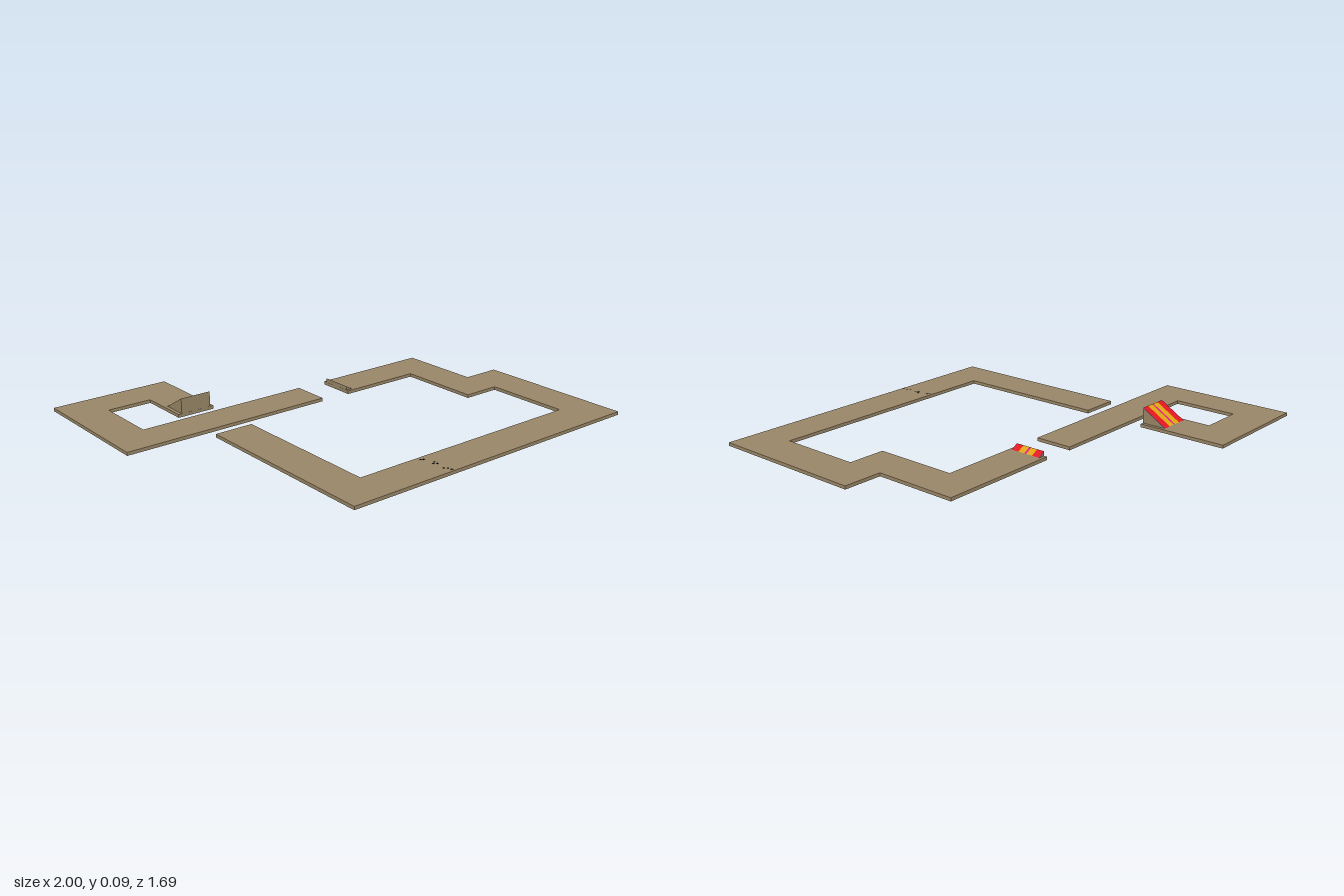
import * as THREE from 'three';

const material = (name, color) => {
  const m = new THREE.MeshStandardMaterial({ color });
  m.name = name;
  return m;
};

export function createModel() {
  const model = new THREE.Group();
  model.name = 'trackCourse';
  const ground = material('dirt brown', 0x9a8768);
  const red = material('red', 0xe3171f);
  const yellow = material('amber', 0xe0a512);
  const magenta = material('magenta', 0xd8148a);
  const black = material('black', 0x101010);
  const T = 0.016; // track thickness

  const add = (parent, name, geometry, mat) => {
    const mesh = new THREE.Mesh(geometry, mat);
    mesh.name = name;
    parent.add(mesh);
    return mesh;
  };

  // Flat track pieces, outlined as [x, z]
  const slab = (name, outline) => {
    const shape = new THREE.Shape(outline.map(([x, z]) => new THREE.Vector2(x, -z)));
    const geo = new THREE.ExtrudeGeometry(shape, { depth: T, bevelEnabled: false });
    geo.rotateX(-Math.PI / 2);
    add(model, name, geo, ground);
  };
  slab('hookTrack', [
    [-1, -0.847], [-0.405, -0.847], [-0.405, -0.405], [-0.595, -0.405], [-0.595, -0.66],
    [-0.815, -0.66], [-0.815, -0.345], [0.055, -0.345], [0.055, -0.16], [-1, -0.16],
  ]);
  slab('loopTrack', [
    [0.213, -0.345], [0.81, -0.345], [0.81, 0.063], [1, 0.063], [1, 0.845], [-0.595, 0.845],
    [-0.595, -0.097], [-0.405, -0.097], [-0.405, 0.657], [0.81, 0.657], [0.81, 0.247],
    [0.625, 0.247], [0.625, -0.16], [0.213, -0.16],
  ]);

  // Wedge ramp rising toward its own +z, with painted stripes running up the slope
  const ramp = (name, width, run, rise) => {
    const group = new THREE.Group();
    group.name = name;
    const profile = new THREE.Shape([[0, 0], [run, 0], [run, rise]].map(p => new THREE.Vector2(...p)));
    const wedge = new THREE.ExtrudeGeometry(profile, { depth: width, bevelEnabled: false });
    wedge.rotateY(-Math.PI / 2).translate(width / 2, 0, -run / 2);
    add(group, 'rampWedge', wedge, ground);

    const slope = Math.atan2(rise, run);
    const stripes = [
      [0, 0.02, magenta], [0.02, 0.25, red], [0.25, 0.465, yellow], [0.465, 0.535, magenta],
      [0.535, 0.75, yellow], [0.75, 0.98, red], [0.98, 1, magenta],
    ];
    for (const [a, b, mat] of stripes) {
      const geo = new THREE.PlaneGeometry((b - a) * width, Math.hypot(run, rise));
      geo.rotateX(-Math.PI / 2 - slope);
      const stripe = add(group, 'rampStripe', geo, mat);
      stripe.position.set(((a + b) / 2 - 0.5) * width, rise / 2 + 0.001, 0);
    }
    model.add(group);
    return group;
  };
  ramp('largeRamp', 0.155, 0.125, 0.074).position.set(-0.5, T, -0.468);
  const small = ramp('smallRamp', 0.155, 0.035, 0.02);
  small.position.set(0.231, T, -0.252);
  small.rotation.y = -Math.PI / 2;

  // Worn flecks of the start line
  const flecks = [
    [-0.095, 0.677], [-0.083, 0.683], [-0.067, 0.73], [-0.08, 0.74],
    [-0.067, 0.75], [-0.08, 0.8], [-0.068, 0.812], [-0.064, 0.83],
  ];
  for (const [x, z] of flecks) {
    add(model, 'startLineFleck', new THREE.BoxGeometry(0.008, 0.001, 0.008), black).position.set(x, T + 0.0005, z);
  }
  return model;
}
